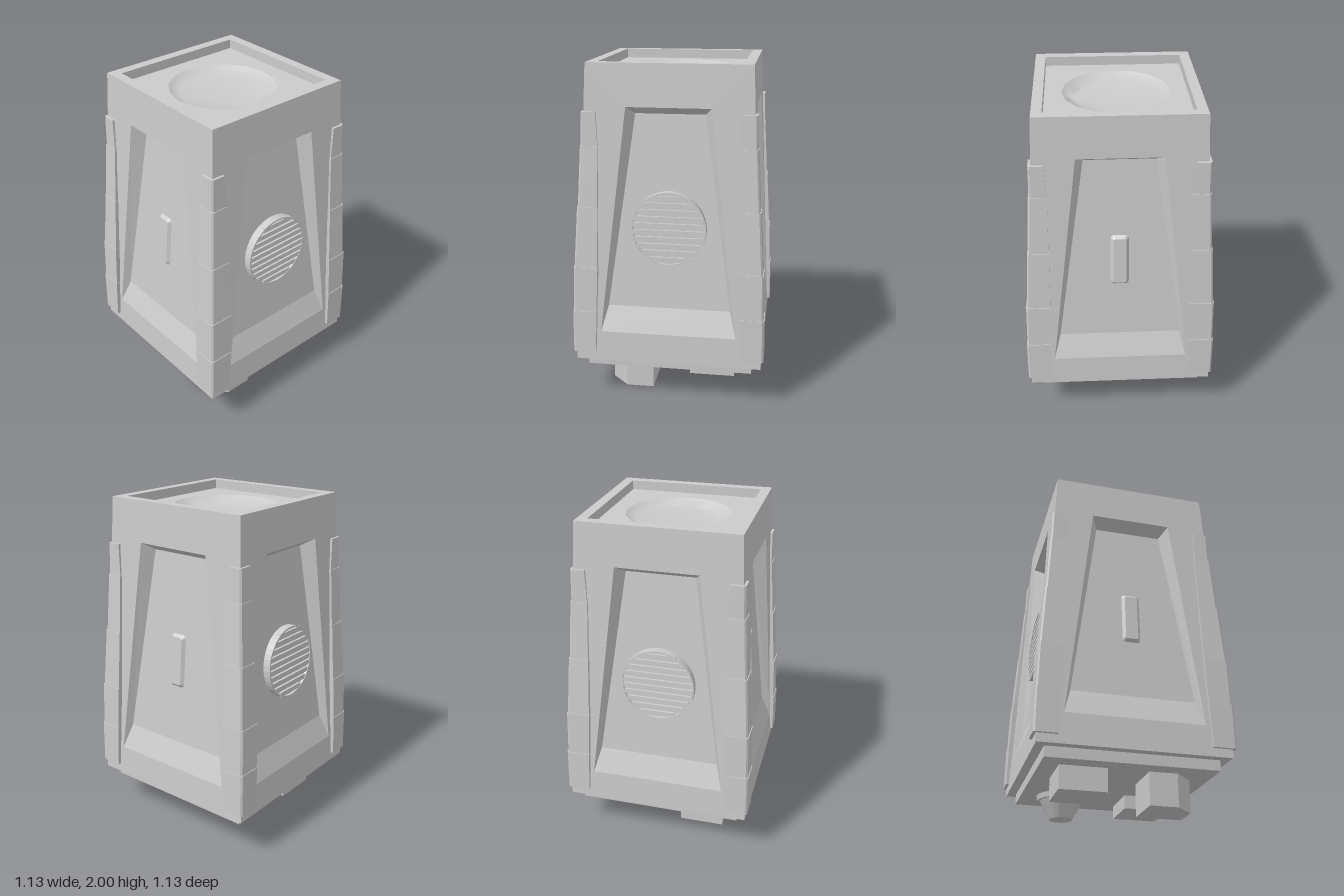
import * as THREE from 'three';
import { mergeVertices } from 'three/addons/utils/BufferGeometryUtils.js';

const mat = new THREE.MeshStandardMaterial({ color: 0xcccccc, flatShading: true });
const smoothMat = new THREE.MeshStandardMaterial({ color: 0xcccccc });

function add(parent, name, geo, material = mat) {
  const m = new THREE.Mesh(geo, material);
  m.name = name;
  parent.add(m);
  return m;
}

function fromTriangles(tris) {
  const g = new THREE.BufferGeometry();
  g.setAttribute('position', new THREE.Float32BufferAttribute(tris.flat(), 3));
  g.computeVertexNormals();
  return g;
}

// Strip of quads between two closed loops of points
function ribbon(a, b) {
  const t = [];
  a.forEach((p, i) => {
    const j = (i + 1) % a.length;
    t.push(p, a[j], b[j], p, b[j], b[i]);
  });
  return t;
}

// Fan over a convex loop
const cap = loop => loop.slice(2).flatMap((p, i) => [loop[0], loop[i + 1], p]);

const circle = (r, n) => Array.from({ length: n }, (_, i) => {
  const a = i / n * Math.PI * 2;
  return [r * Math.cos(a), r * Math.sin(a)];
});
const square = h => [[-h, -h], [h, -h], [h, h], [-h, h]];

// Rectangle loop with rounded corners
function roundedRect(hw, hh, r, cy) {
  const pts = [];
  [[1, 1], [-1, 1], [-1, -1], [1, -1]].forEach(([sx, sy], q) => {
    for (let k = 0; k <= 3; k++) {
      const a = (q + k / 3) * Math.PI / 2;
      pts.push([sx * (hw - r) + r * Math.cos(a), cy + sy * (hh - r) + r * Math.sin(a)]);
    }
  });
  return pts;
}

// Flat area with a hole, z given by a rule of y
function plate(outline, hole, zRule) {
  const toV = l => l.map(p => new THREE.Vector2(...p));
  const s = new THREE.Shape(toV(outline));
  s.holes.push(new THREE.Path(toV(hole)));
  const g = new THREE.ShapeGeometry(s), p = g.attributes.position;
  for (let i = 0; i < p.count; i++) p.setZ(i, zRule(p.getY(i)));
  g.computeVertexNormals();
  return g;
}

// Tapered wall and the floor of its recessed panel, deeper towards the top
const wallZ = y => 0.55 - (y - 0.25) * 0.0486;
const floorZ = y => wallZ(y) - 0.045 - (y - 0.58) * 0.031;
const lift = (loop, rule, off = 0) => loop.map(([x, y]) => [x, y, rule(y) + off]);

// Round raised grille with horizontal slats
function grille() {
  const g = new THREE.Group();
  g.name = 'vent';
  g.position.set(0, 1.065, wallZ(1.065) - 0.016);
  g.rotation.x = -0.0486;
  const profile = [[0.217, -0.06], [0.217, 0], [0.207, 0], [0.207, -0.018], [0, -0.018]];
  const drum = new THREE.LatheGeometry(profile.map(p => new THREE.Vector2(...p)), 40);
  add(g, 'ventDrum', drum.rotateX(Math.PI / 2));
  for (let i = 0; i < 10; i++) {
    const y = (i - 4.5) * 0.04;
    const w = 2 * Math.sqrt(0.208 ** 2 - y * y);
    add(g, 'ventSlat', new THREE.BoxGeometry(w, 0.028, 0.016)).position.set(0, y, -0.011);
  }
  return g;
}

function side(hasVent) {
  const g = new THREE.Group();
  g.name = hasVent ? 'ventSide' : 'slotSide';
  const wall = [[-wallZ(0.25), 0.25], [wallZ(0.25), 0.25], [wallZ(2), 2], [-wallZ(2), 2]];
  const outer = [[-0.4, 0.43], [0.4, 0.43], [0.24, 1.76], [-0.24, 1.76]];
  const inner = [[-0.36, 0.58], [0.36, 0.58], [0.2, 1.715], [-0.2, 1.715]];
  const floor = lift(inner, floorZ);
  add(g, 'wall', plate(wall, outer, wallZ));
  add(g, 'panelBevel', fromTriangles(ribbon(lift(outer, wallZ), floor)));
  add(g, 'panelFloor', fromTriangles(cap(floor)));
  if (hasVent) {
    g.add(grille());
  } else {
    // Small raised block with bevelled edges
    const base = lift(roundedRect(0.053, 0.16, 0.02, 1.09), floorZ);
    const face = lift(roundedRect(0.037, 0.144, 0.012, 1.09), floorZ, 0.018);
    add(g, 'raisedKey', fromTriangles([...ribbon(base, face), ...cap(face)]));
  }
  return g;
}

// Square corner strip in five stacked, slightly stepped pieces
function cornerGuard() {
  const g = new THREE.Group();
  g.name = 'cornerGuard';
  const ys = [0.3, 0.56, 0.83, 1.19, 1.54, 1.73];
  const out = [0.565, 0.558, 0.547, 0.521, 0.497, 0.489];
  const inn = [0.43, 0.42, 0.41, 0.405, 0.4, 0.41];
  const ring = (i, o, y, c = 0.01) =>
    [[i, y, o], [o - c, y, o], [o, y, o - c], [o, y, i], [i, y, i]];
  for (let k = 0; k < 5; k++) {
    const low = ring(inn[k], out[k], ys[k]);
    const high = ring(inn[k + 1] - 0.002, out[k + 1] + 0.004, ys[k + 1]);
    add(g, 'guardPiece', fromTriangles([...ribbon(low, high), ...cap(high), ...cap([...low].reverse())]));
  }
  return g;
}

// Rim, sunken tray and round dish, drawn flat and turned to face up
function topTray() {
  const g = new THREE.Group();
  g.name = 'topTray';
  g.rotation.x = -Math.PI / 2;
  const at = (loop, z) => loop.map(([x, y]) => [x, y, z]);
  const rim = at(square(0.406), 2), tray = 1.945;
  add(g, 'rim', fromTriangles(ribbon(at(square(wallZ(2)), 2), rim)));
  add(g, 'trayWall', fromTriangles(ribbon(rim, at(square(0.406), tray))));
  add(g, 'trayFloor', plate(square(0.406), circle(0.31, 16), () => tray));
  const low = at(circle(0.25, 16), tray - 0.038);
  const bowl = fromTriangles([...ribbon(at(circle(0.31, 16), tray), low), ...cap(low)]);
  bowl.deleteAttribute('normal');
  const smooth = mergeVertices(bowl);
  smooth.computeVertexNormals();
  add(g, 'dish', smooth, smoothMat);
  return g;
}

function underside() {
  const g = new THREE.Group();
  g.name = 'underside';
  add(g, 'bottomPlate', new THREE.BoxGeometry(1.09, 0.03, 1.09)).position.y = 0.266;
  add(g, 'basePlate', new THREE.BoxGeometry(0.985, 0.07, 0.985)).position.y = 0.225;

  // Two plain blocks of different height
  [[-0.255, 0.25, 0.055], [0.25, -0.25, 0.11]].forEach(([x, z, y]) => {
    add(g, 'footBlock', new THREE.BoxGeometry(0.27, 0.2 - y, 0.27)).position.set(x, (0.2 + y) / 2, z);
  });

  // Tall block with its outer corner cut off
  const s = new THREE.Shape([[0.115, -0.115], [0.115, -0.385], [0.28, -0.385],
    [0.385, -0.28], [0.385, -0.115]].map(p => new THREE.Vector2(...p)));
  const cut = new THREE.ExtrudeGeometry(s, { depth: 0.2, bevelEnabled: false });
  add(g, 'cutFootBlock', cut.rotateX(-Math.PI / 2));

  // Round tapered foot with a collar
  const foot = new THREE.Group();
  foot.name = 'roundFoot';
  foot.position.set(-0.25, 0, -0.25);
  g.add(foot);
  add(foot, 'collar', new THREE.CylinderGeometry(0.15, 0.143, 0.035, 20)).position.y = 0.1775;
  add(foot, 'taper', new THREE.CylinderGeometry(0.13, 0.07, 0.117, 20)).position.y = 0.1065;
  return g;
}

export function createModel() {
  const model = new THREE.Group();
  model.name = 'taperedTower';
  for (let i = 0; i < 4; i++) {
    const s = side(i % 2 === 1), c = cornerGuard();
    s.rotation.y = c.rotation.y = i * Math.PI / 2;
    model.add(s, c);
  }
  model.add(topTray(), underside());
  return model;
}
